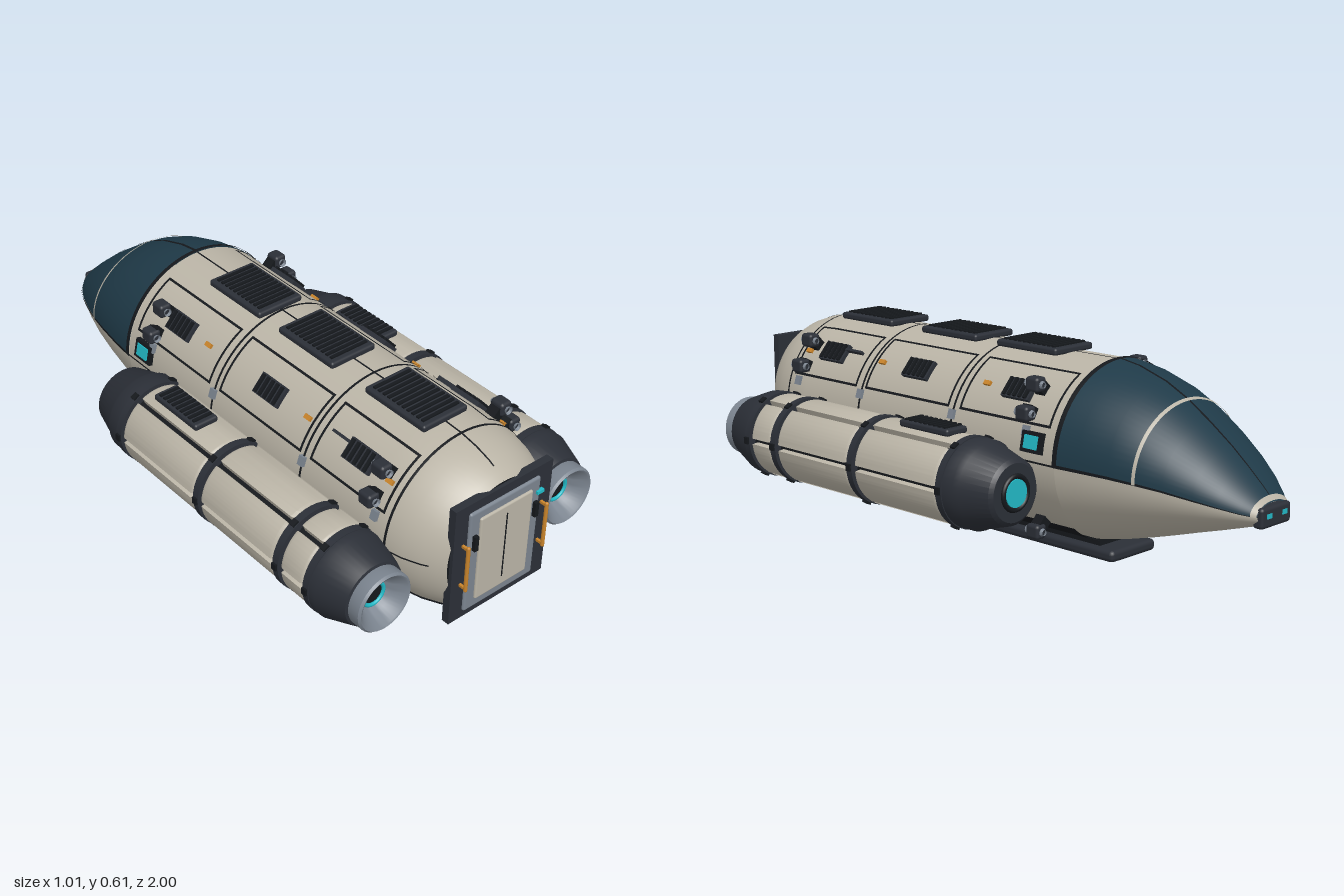
import * as THREE from 'three';
import { toCreasedNormals } from 'three/addons/utils/BufferGeometryUtils.js';
import { RoundedBoxGeometry } from 'three/addons/geometries/RoundedBoxGeometry.js';

const mat = (color) => new THREE.MeshStandardMaterial({ color, side: THREE.DoubleSide });
const CREAM = mat(0xbab4a6), DARK = mat(0x2b2f37), BLACK = mat(0x15181c), TEAL = mat(0x1f3a48);
const GREY = mat(0x7b848f), CYAN = mat(0x22b9c6), ORANGE = mat(0xc9842b);
const rad = THREE.MathUtils.degToRad;

// Hull sections from nose to stern: z, half width, top, bottom, height of the widest line
const HULL = [
  [-0.985, 0.07, 0.265, 0.2, 0.235], [-0.95, 0.103, 0.3, 0.193, 0.245], [-0.9, 0.14, 0.345, 0.178, 0.26],
  [-0.84, 0.173, 0.395, 0.16, 0.275], [-0.76, 0.207, 0.453, 0.137, 0.292], [-0.68, 0.234, 0.505, 0.113, 0.303],
  [-0.6, 0.253, 0.545, 0.09, 0.31], [-0.5, 0.27, 0.577, 0.064, 0.314], [-0.42, 0.278, 0.59, 0.048, 0.315],
  [0.7, 0.278, 0.59, 0.042, 0.315], [0.79, 0.272, 0.585, 0.045, 0.315], [0.85, 0.258, 0.574, 0.053, 0.315],
  [0.9, 0.237, 0.558, 0.066, 0.315], [0.94, 0.212, 0.538, 0.085, 0.315], [0.96, 0.194, 0.522, 0.1, 0.315],
];

function sectionAt(z) {
  let i = 1;
  while (i < HULL.length - 1 && HULL[i][0] < z) i++;
  const a = HULL[i - 1], b = HULL[i], t = (z - a[0]) / (b[0] - a[0]);
  return a.map((v, k) => v + (b[k] - v) * t);
}

// Point on the hull at an angle in degrees (0 = +x, 90 = up), raised by d
function hullPoint(deg, z, d = 0) {
  const [, w, top, bot, mid] = sectionAt(z), c = Math.cos(rad(deg)), s = Math.sin(rad(deg));
  return new THREE.Vector3((w + d) * c, mid + s * ((s > 0 ? top - mid : mid - bot) + d), z);
}

// Strip of hull skin between two angles and two z positions
function skin(z0, z1, a0, a1, d = 0) {
  const zs = [z0, ...HULL.map((h) => h[0]).filter((z) => z > z0 + 1e-4 && z < z1 - 1e-4), z1];
  const n = Math.max(1, Math.ceil((a1 - a0) / 5)), pos = [], index = [];
  zs.forEach((z, i) => {
    for (let j = 0; j <= n; j++) {
      pos.push(...hullPoint(a0 + ((a1 - a0) * j) / n, z, d).toArray());
      if (i < zs.length - 1 && j < n) {
        const p = i * (n + 1) + j, q = p + n + 1;
        index.push(p, p + 1, q, p + 1, q + 1, q);
      }
    }
  });
  const g = new THREE.BufferGeometry();
  g.setAttribute('position', new THREE.Float32BufferAttribute(pos, 3));
  g.setIndex(index);
  g.computeVertexNormals();
  return g;
}

function add(parent, name, geometry, material, x = 0, y = 0, z = 0) {
  const m = new THREE.Mesh(geometry, material);
  m.name = name;
  m.position.set(x, y, z);
  parent.add(m);
  return m;
}
const box = (w, h, d) => new THREE.BoxGeometry(w, h, d);
const round = (w, h, d, r = 0.01) => new RoundedBoxGeometry(w, h, d, 2, r);

// Turned part along z from [radius, z] points
function turned(points, seg = 40) {
  const g = new THREE.LatheGeometry(points.map((p) => new THREE.Vector2(...p)), seg);
  return toCreasedNormals(g.rotateX(Math.PI / 2), rad(35));
}

// Vent with slats; its local y points outward
function vent(name, w, l, slats) {
  const g = new THREE.Group();
  g.name = name;
  add(g, 'ventBase', round(w, 0.022, l, 0.008), DARK);
  for (let i = 0; i < slats; i++) {
    add(g, 'ventSlat', box(w * 0.82, 0.008, (l * 0.45) / slats), BLACK, 0, 0.012, ((i + 0.5) / slats - 0.5) * l * 0.88);
  }
  return g;
}

function buildHull(root) {
  const g = new THREE.Group();
  g.name = 'hull';
  root.add(g);
  add(g, 'fuselage', skin(-0.42, 0.96, -90, 270), CREAM);
  add(g, 'noseUnderside', skin(-0.985, -0.42, 180, 360), CREAM);
  add(g, 'canopy', skin(-0.985, -0.42, 0, 180, 0.002), TEAL);
  add(g, 'canopyHoop', skin(-0.686, -0.676, 0, 180, 0.006), CREAM);
  add(g, 'canopyBaseFrame', skin(-0.432, -0.416, 0, 180, 0.006), BLACK);
  add(g, 'canopyTipFrame', skin(-0.985, -0.972, 0, 180, 0.006), CREAM);
  add(g, 'canopySpine', skin(-0.98, -0.42, 89, 91, 0.005), BLACK);
  for (const a of [-0.5, 178.5]) add(g, 'canopySill', skin(-0.985, -0.42, a, a + 2, 0.005), BLACK);
  add(g, 'belly', skin(-0.42, 0.94, 228, 312, 0.005), BLACK);
  for (const z of [0.01, 0.43, 0.79]) add(g, 'hullSeam', skin(z - 0.004, z + 0.004, -48, 228, 0.002), BLACK);
  for (const a of [0, 90, 180]) add(g, 'longSeam', skin(-0.42, 0.92, a - 0.6, a + 0.6, 0.002), BLACK);
  add(g, 'keelSkid', round(0.2, 0.036, 1.14, 0.014), DARK, 0, 0.018, 0.08);
  add(g, 'keelMount', box(0.15, 0.03, 1.0), BLACK, 0, 0.045, 0.08);
  // Blunt nose tip with two lamps
  add(g, 'noseTip', round(0.135, 0.06, 0.035), DARK, 0, 0.23, -0.982);
  for (const s of [-1, 1]) add(g, 'noseLamp', box(0.022, 0.014, 0.006), CYAN, s * 0.035, 0.235, -0.998);
  [-0.12, 0.217, 0.605].forEach((z) => {
    const v = vent('roofVent', 0.168, 0.248, 11);
    v.position.set(0, 0.597, z);
    g.add(v);
  });
}

// Panels, grilles, lamps and thrusters on one side of the hull
function buildSide(root, s) {
  const g = new THREE.Group();
  g.name = s > 0 ? 'leftFittings' : 'rightFittings';
  root.add(g);
  const ang = (a) => (s > 0 ? a : 180 - a);
  const mount = (name, geo, m, a, z, d = 0) => {
    const o = add(g, name, geo, m);
    o.position.copy(hullPoint(ang(a), z, d));
    o.rotation.z = rad(ang(a));
    return o;
  };
  const strip = (z0, z1, a0, a1) =>
    add(g, 'panelEdge', skin(z0, z1, Math.min(ang(a0), ang(a1)), Math.max(ang(a0), ang(a1)), 0.004), BLACK);
  for (const [z0, z1] of [[-0.39, -0.015], [0.03, 0.415], [0.455, 0.77]]) {
    strip(z0, z1, 22, 23.6);
    strip(z0, z1, 61, 62.6);
    strip(z0, z0 + 0.008, 22, 62);
    strip(z1 - 0.008, z1, 22, 62);
  }
  for (const z of [-0.22, 0.215, 0.615]) {
    mount('grilleBase', box(0.016, 0.066, 0.11), DARK, 42, z, 0.004);
    for (let i = -2; i <= 2; i++) mount('grilleSlat', box(0.012, 0.06, 0.01), BLACK, 42, z + i * 0.021, 0.014);
  }
  for (const z of [-0.085, 0.385]) mount('amberMarker', box(0.012, 0.014, 0.026), ORANGE, 42, z, 0.003);
  mount('amberMarker', box(0.012, 0.014, 0.026), ORANGE, 40, 0.74, 0.003);
  mount('handle', box(0.014, 0.008, 0.08), DARK, 45, 0.53, 0.008);
  for (const z of [-0.3, 0.01, 0.43, 0.74]) mount('clasp', box(0.016, 0.03, 0.022), GREY, 18, z, 0.003);
  mount('windowFrame', box(0.02, 0.062, 0.08), BLACK, 12, -0.335, 0.003);
  mount('window', box(0.02, 0.04, 0.052), CYAN, 12, -0.335, 0.007);
  // Attitude thrusters
  for (const [x, y, a, zs] of [[0.228, 0.533, 45, [-0.3, 0.72]], [0.272, 0.454, 29, [-0.3, 0.72]], [0.225, 0.09, -46, [-0.3, 0.7]]]) {
    for (const z of zs) {
      mount('thrusterFoot', box(0.05, 0.035, 0.035), BLACK, a, z, 0.006);
      add(g, 'thrusterBlock', round(0.042, 0.044, 0.05), DARK, s * x, y, z);
      for (const e of [-1, 1]) add(g, 'thrusterNozzle', turned([[0.009, -0.006], [0.013, 0.006]], 12), GREY, s * x, y, z + e * 0.028);
    }
  }
}

// Engine pod: ribbed core, bulged panels, clamps, caps and nozzle
function buildPod(root, s) {
  const g = new THREE.Group();
  g.name = s > 0 ? 'leftPod' : 'rightPod';
  g.position.set(s * 0.36, 0.24, 0);
  root.add(g);
  add(g, 'podCore', turned([[0, -0.2], [0.116, -0.2], [0.116, 0.74], [0, 0.74]]), BLACK);
  for (const [z0, z1] of [[-0.155, 0.205], [0.237, 0.575], [0.607, 0.707]]) {
    for (let i = 0; i < 6; i++) {
      const b = 0.012, half = rad(30) - 0.055 - b / 0.12, mid = rad(30 + 60 * i), sh = new THREE.Shape();
      sh.absarc(0, 0, 0.123, mid - half, mid + half, false);
      sh.absarc(0, 0, 0.1, mid + half, mid - half, true);
      const geo = new THREE.ExtrudeGeometry(sh, { depth: z1 - z0 - 2 * b, bevelSize: b, bevelThickness: b, bevelSegments: 3, curveSegments: 10 });
      add(g, 'podPanel', toCreasedNormals(geo, rad(40)), CREAM, 0, 0, z0 + b);
    }
  }
  for (const z of [-0.17, 0.221, 0.591, 0.722]) {
    add(g, 'podClamp', turned([[0.11, -0.014], [0.139, -0.012], [0.139, 0.012], [0.11, 0.014]]), DARK, 0, 0, z);
    for (let i = 0; i < 6; i++) {
      const a = rad(60 * i);
      add(g, 'clampBolt', box(0.014, 0.022, 0.018), BLACK, 0.138 * Math.cos(a), 0.138 * Math.sin(a), z).rotation.z = a;
    }
  }
  add(g, 'podFrontCap', turned([[0, -0.345], [0.088, -0.345], [0.1, -0.335], [0.127, -0.24], [0.136, -0.225], [0.136, -0.18], [0.1, -0.17]]), DARK);
  add(g, 'intakeRing', new THREE.TorusGeometry(0.05, 0.008, 8, 32), BLACK, 0, 0, -0.346);
  add(g, 'intakeGlow', turned([[0, -0.352], [0.042, -0.352], [0.042, -0.34]]), CYAN);
  add(g, 'podAftCap', turned([[0.1, 0.72], [0.137, 0.73], [0.137, 0.76], [0.104, 0.85], [0.09, 0.855]]), DARK);
  add(g, 'nozzle', turned([[0.092, 0.84], [0.096, 0.85], [0.096, 0.893], [0.09, 0.9], [0.084, 0.897], [0.06, 0.86], [0.05, 0.84], [0, 0.84]]), GREY);
  add(g, 'nozzleGlow', new THREE.TorusGeometry(0.037, 0.006, 10, 36), CYAN, 0, 0, 0.848);
  add(g, 'nozzleCore', new THREE.CircleGeometry(0.034, 32), BLACK, 0, 0, 0.846);
  const v = vent('podVent', 0.085, 0.21, 9);
  v.position.set(0, 0.142, -0.005);
  g.add(v);
}

// Stern hatch with nested frames, rails and status lamp
function buildHatch(root) {
  const g = new THREE.Group();
  g.name = 'sternHatch';
  root.add(g);
  add(g, 'sternBulkhead', new THREE.CircleGeometry(1, 48), BLACK, 0, 0.312, 0.959).scale.set(0.194, 0.211, 1);
  const ring = (w, h, iw, ih) => {
    const rect = (T, a, b) => new T([[-a, -b], [a, -b], [a, b], [-a, b]].map(([x, y]) => new THREE.Vector2(x / 2, y / 2)));
    const sh = rect(THREE.Shape, w, h);
    sh.holes.push(rect(THREE.Path, iw, ih));
    return sh;
  };
  add(g, 'hatchSurround', new THREE.ExtrudeGeometry(ring(0.37, 0.405, 0.26, 0.34), { depth: 0.025, bevelEnabled: false }), DARK, 0, 0.312, 0.945);
  add(g, 'hatchFrame', round(0.27, 0.352, 0.03, 0.008), GREY, 0, 0.308, 0.963);
  add(g, 'hatchDoor', round(0.2, 0.292, 0.02, 0.006), CREAM, 0, 0.31, 0.975);
  add(g, 'doorSeam', box(0.004, 0.23, 0.003), BLACK, 0, 0.312, 0.985);
  for (const s of [-1, 1]) {
    add(g, 'hatchHinge', box(0.014, 0.05, 0.016), BLACK, s * 0.116, 0.38, 0.982);
    add(g, 'handrail', new THREE.CapsuleGeometry(0.006, 0.15, 4, 10), ORANGE, s * 0.151, 0.31, 0.993);
    for (const e of [-1, 1]) add(g, 'railPost', box(0.008, 0.008, 0.035), ORANGE, s * 0.151, 0.31 + e * 0.07, 0.977);
  }
  add(g, 'statusLamp', box(0.026, 0.01, 0.012), CYAN, 0.13, 0.434, 0.98);
}

export function createModel() {
  const root = new THREE.Group();
  root.name = 'shuttle';
  buildHull(root);
  buildHatch(root);
  for (const s of [-1, 1]) {
    buildSide(root, s);
    buildPod(root, s);
  }
  return root;
}
